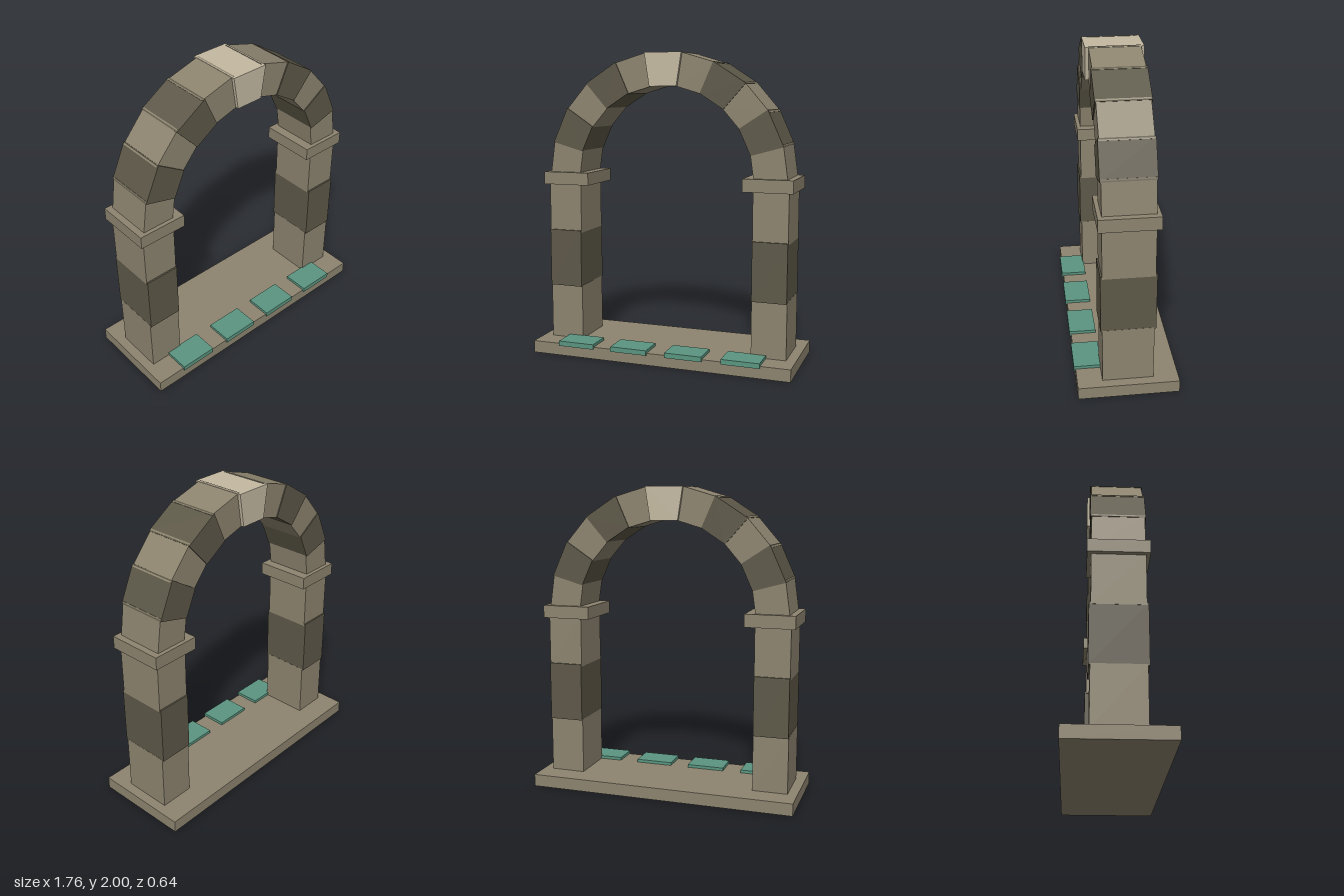
import * as THREE from 'three';

const Z = -0.006; // depth centre of the masonry

const mat = (name, color) => {
  const m = new THREE.MeshStandardMaterial({ color });
  m.name = name;
  return m;
};

export function createModel() {
  const stone = mat('stone', 0x8d846f);
  const darkStone = mat('dark stone', 0x5d5848);
  const paleStone = mat('pale stone', 0xc4b9a2);
  const teal = mat('teal tile', 0x5a9580);

  const group = new THREE.Group();
  group.name = 'archway';

  const add = (parent, name, geometry, material) => {
    const mesh = new THREE.Mesh(geometry, material);
    mesh.name = name;
    parent.add(mesh);
    return mesh;
  };

  // Box given by its centre x, z, its bottom and top, and its width and depth
  const box = (parent, name, material, x, y0, y1, z, w, d) =>
    add(parent, name, new THREE.BoxGeometry(w, y1 - y0, d), material)
      .position.set(x, (y0 + y1) / 2, z);

  // Base slab
  box(group, 'baseSlab', stone, 0, 0, 0.08, Z, 1.76, 0.634);

  // Paving tiles along the front edge
  for (let i = 0; i < 4; i++) {
    box(group, 'tile', teal, (i - 1.5) * 0.375, 0.067, 0.1, 0.234, 0.25, 0.176);
  }

  // Piers of three stacked blocks with a capital
  for (const side of [-1, 1]) {
    const pier = new THREE.Group();
    pier.name = side > 0 ? 'leftPier' : 'rightPier';
    group.add(pier);
    const x = side * 0.703;
    box(pier, 'lowerBlock', stone, x, 0.08, 0.45, Z, 0.228, 0.32);
    box(pier, 'middleBlock', darkStone, x, 0.443, 0.827, Z, 0.226, 0.34);
    box(pier, 'upperBlock', stone, x, 0.812, 1.14, Z, 0.228, 0.32);
    box(pier, 'capital', stone, x * 0.976, 1.137, 1.22, Z, 0.322, 0.37);
  }

  // Arch of eleven slightly overlapping wedge stones, keystone in the middle
  const arch = new THREE.Group();
  arch.name = 'arch';
  arch.position.set(0, 1.2, Z);
  group.add(arch);
  const inner = 0.594, outer = 0.8095;
  const half = THREE.MathUtils.degToRad(8.8);
  const s = Math.sin(half), c = Math.cos(half);
  const wedge = new THREE.Shape([
    new THREE.Vector2(-inner * s, inner * c),
    new THREE.Vector2(inner * s, inner * c),
    new THREE.Vector2(outer * s, outer * c),
    new THREE.Vector2(-outer * s, outer * c),
  ]);
  for (let k = -5; k <= 5; k++) {
    const dark = k !== 0 && k % 2 === 0;
    const depth = k === 0 ? 0.36 : dark ? 0.332 : 0.318;
    const geometry = new THREE.ExtrudeGeometry(wedge, { depth, bevelEnabled: false });
    geometry.translate(0, 0, -depth / 2);
    const material = k === 0 ? paleStone : dark ? darkStone : stone;
    add(arch, k === 0 ? 'keystone' : 'archStone', geometry, material)
      .rotation.z = -k * Math.PI / 11;
  }

  return group;
}
